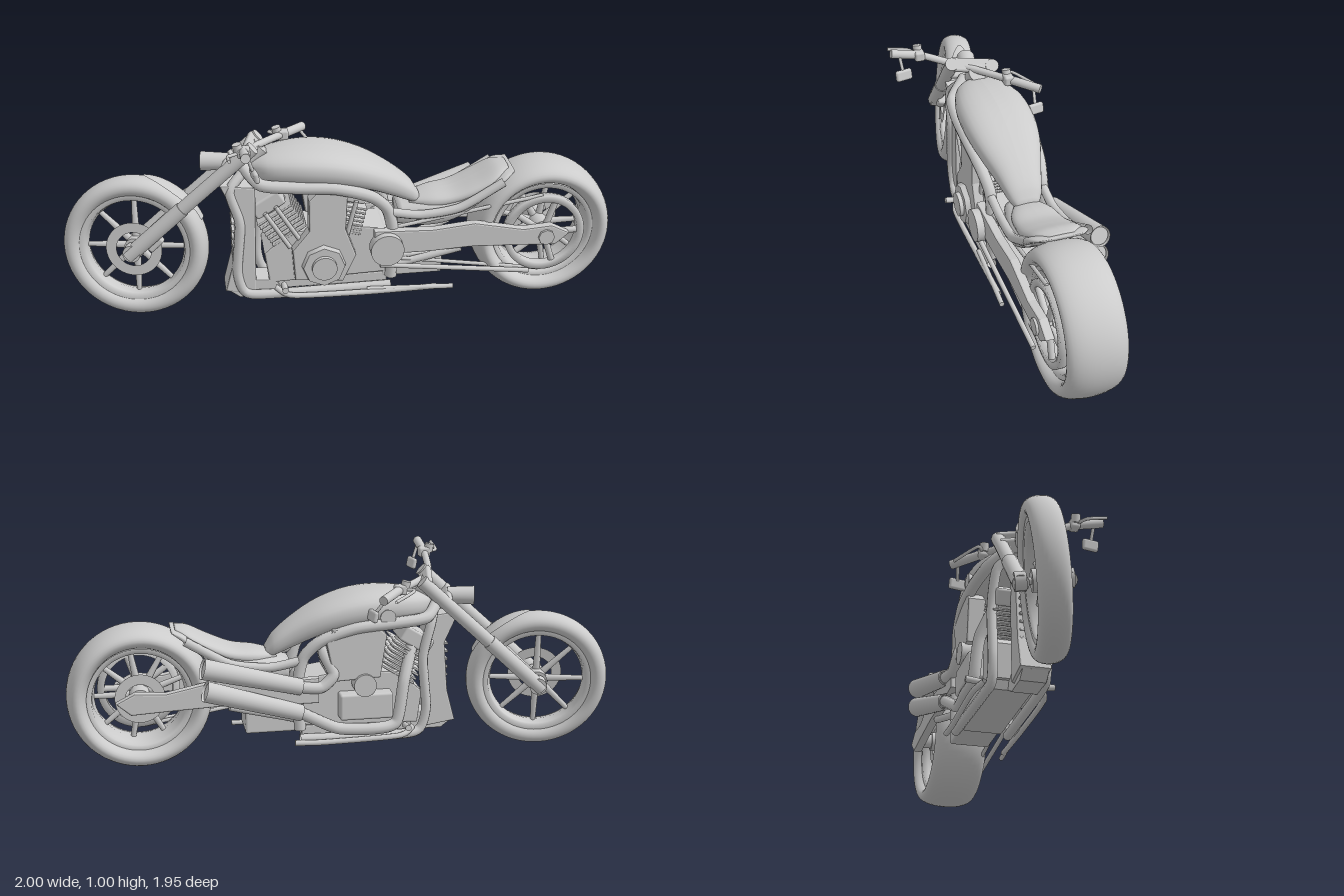
import * as THREE from 'three';
import { RoundedBoxGeometry } from 'three/addons/geometries/RoundedBoxGeometry.js';

// Bike space: x runs front to rear, y up, +z is the rider's left.
const mat = new THREE.MeshStandardMaterial({ color: 0xcccccc, side: THREE.DoubleSide });
const V = (p) => new THREE.Vector3(...p);

export function createModel() {
  const root = new THREE.Group();
  const bike = new THREE.Group();
  bike.name = 'motorcycle';
  bike.position.set(-0.04, 0, 0.015);
  bike.rotation.y = THREE.MathUtils.degToRad(-41.5);
  root.add(bike);

  const add = (parent, name, geo, pos = [0, 0, 0], rot = [0, 0, 0]) => {
    const m = new THREE.Mesh(geo, mat);
    m.name = name;
    m.position.set(...pos);
    m.rotation.set(...rot);
    parent.add(m);
    return m;
  };
  const box = (parent, name, size, pos, rot, r = 0.012) =>
    add(parent, name, new RoundedBoxGeometry(...size, 2, r), pos, rot);
  const rod = (parent, name, a, b, r, r2 = r, sides = 20, open = false) => {
    const d = V(b).sub(V(a));
    const m = add(parent, name, new THREE.CylinderGeometry(r2, r, d.length(), sides, 1, open));
    m.position.copy(V(a)).addScaledVector(d, 0.5);
    m.quaternion.setFromUnitVectors(new THREE.Vector3(0, 1, 0), d.normalize());
    return m;
  };
  const tube = (parent, name, pts, r, tension = 0.35) =>
    add(parent, name, new THREE.TubeGeometry(
      new THREE.CatmullRomCurve3(pts.map(V), false, 'catmullrom', tension), pts.length * 10, r, 10));
  // disc or cover whose axis points sideways
  const disc = (parent, name, r, depth, pos, sides = 32, r2 = r) =>
    add(parent, name, new THREE.CylinderGeometry(r2, r, depth, sides), pos, [Math.PI / 2, 0, 0]);
  const plate = (parent, name, pts, depth, z) => {
    const s = new THREE.Shape(pts.map((p) => new THREE.Vector2(...p)));
    const g = new THREE.ExtrudeGeometry(s, { depth, bevelEnabled: true, bevelSize: 0.008, bevelThickness: 0.008, bevelSegments: 2 });
    return add(parent, name, g, [0, 0, z - depth / 2]);
  };
  // body through sections [x, yBottom, yTop, halfWidth]
  const loft = (parent, name, sections, power = 0.8, n = 28) => {
    const curve = (k) => new THREE.CatmullRomCurve3(sections.map((s) => new THREE.Vector3(s[0], s[k], s[3])));
    const lo = curve(1), hi = curve(2), steps = 28, pos = [], idx = [];
    const sp = (v) => Math.sign(v) * Math.abs(v) ** power;
    for (let i = -1; i <= steps + 1; i++) {
      const t = Math.min(Math.max(i / steps, 0), 1);
      const a = lo.getPoint(t), b = hi.getPoint(t), k = i < 0 || i > steps ? 0.01 : 1;
      for (let j = 0; j <= n; j++) {
        const q = (j / n) * Math.PI * 2;
        pos.push(a.x, (a.y + b.y) / 2 + ((b.y - a.y) / 2) * sp(Math.cos(q)) * k, b.z * sp(Math.sin(q)) * k);
      }
    }
    for (let i = 0; i < steps + 2; i++) for (let j = 0; j < n; j++) {
      const a = i * (n + 1) + j, b = a + n + 1;
      idx.push(a, a + 1, b, a + 1, b + 1, b);
    }
    const g = new THREE.BufferGeometry();
    g.setAttribute('position', new THREE.Float32BufferAttribute(pos, 3));
    g.setIndex(idx);
    g.computeVertexNormals();
    return add(parent, name, g);
  };
  const lathe = (parent, name, pts, z = 0) =>
    add(parent, name, new THREE.LatheGeometry(pts.map((p) => new THREE.Vector2(...p)), 64), [0, 0, z], [Math.PI / 2, 0, 0]);

  const wheel = (parent, name, R, rim, half, power, spokes) => {
    const w = new THREE.Group();
    w.name = name;
    parent.add(w);
    const sp = (v) => Math.sign(v) * Math.abs(v) ** power;
    const ring = [];
    for (let i = 0; i <= 32; i++) {
      const t = -Math.PI + (i / 32) * Math.PI * 2;
      ring.push([(R + rim) / 2 + ((R - rim) / 2) * sp(Math.cos(t)), half * sp(Math.sin(t))]);
    }
    lathe(w, 'tyre', ring);
    const b = half * 0.72;
    lathe(w, 'rim', [[rim + 0.012, -b], [rim - 0.012, -b], [rim - 0.016, -b * 0.7], [rim - 0.026, 0],
      [rim - 0.016, b * 0.7], [rim - 0.012, b], [rim + 0.012, b]]);
    disc(w, 'hub', 0.05, half * 1.5, [0, 0, 0]);
    for (let i = 0; i < spokes; i++) {
      const a = (i / spokes) * Math.PI * 2, c = Math.cos(a), s = Math.sin(a);
      rod(w, 'spoke', [c * 0.03, s * 0.03, 0], [c * (rim - 0.02), s * (rim - 0.02), 0], 0.019, 0.013, 8);
    }
    return w;
  };

  // Front end, steered to the right
  const front = new THREE.Group();
  front.name = 'frontEnd';
  front.position.set(-0.99, 0.35, -0.045);
  front.quaternion.setFromAxisAngle(new THREE.Vector3(0.45, 0.89, 0).normalize(), -0.23);
  bike.add(front);
  wheel(front, 'frontWheel', 0.35, 0.255, 0.07, 0.95, 8);
  for (const s of [1, -1]) {
    const z = s * 0.1;
    rod(front, 'forkLower', [-0.02, -0.02, z], [0.25, 0.225, z], 0.037);
    rod(front, 'forkUpper', [0.25, 0.225, z], [0.59, 0.53, z], 0.033);
    disc(front, 'axleClamp', 0.042, 0.05, [0, 0, z]);
  }
  add(front, 'brakeDisc', new THREE.RingGeometry(0.085, 0.135, 40), [0, 0, 0.06]);
  box(front, 'brakeCaliper', [0.07, 0.09, 0.04], [0.1, 0.05, 0.08], [0, 0, -0.8]);
  disc(front, 'frontAxle', 0.016, 0.24, [0, 0, 0]);
  for (const t of [0.47, 0.57]) box(front, 'tripleClamp', [0.035, 0.07, 0.22], [t, t * 0.905, 0], [0, 0, 0.735]);
  rod(front, 'headlight', [0.46, 0.43, 0], [0.33, 0.43, 0], 0.04, 0.046, 28);
  // front fender: leaf-shaped strip wrapped over the tyre
  const fender = new THREE.CylinderGeometry(0.36, 0.36, 0.11, 20, 6, true, 0.15, 1.0);
  const fp = fender.attributes.position;
  for (let i = 0; i < fp.count; i++) {
    const t = (Math.atan2(fp.getX(i), fp.getZ(i)) - 0.15) / 1.0;
    const y = fp.getY(i) * (0.15 + 0.85 * Math.sin(Math.PI * Math.min(Math.max(t, 0), 0.85)) ** 0.8);
    const k = 1 - 12 * y * y;
    fp.setXYZ(i, fp.getX(i) * k, y, fp.getZ(i) * k);
  }
  fender.computeVertexNormals();
  add(front, 'frontFender', fender, [0, 0, 0], [-Math.PI / 2, 0, 0]);

  // Handlebar and controls
  const bar = [[-0.48, 0.975, 0.41], [-0.48, 0.945, 0.27], [-0.47, 0.89, 0.14], [-0.42, 0.865, 0.04],
    [-0.33, 0.855, -0.06], [-0.27, 0.85, -0.12], [-0.16, 0.83, -0.25]];
  tube(bike, 'handlebar', bar, 0.018);
  for (const [a, b, lever, k] of [[bar[1], bar[0], -0.07, 1], [bar[5], bar[6], -0.06, -1]]) {
    rod(bike, 'grip', a, b, 0.022);
    box(bike, 'switchBlock', [0.06, 0.05, 0.05], a);
    tube(bike, 'lever', [a, [a[0] + lever, a[1], a[2] + 0.04 * k], [b[0] + lever, b[1] - 0.01, b[2]]], 0.008);
    rod(bike, 'reservoir', [a[0] - 0.02, a[1], a[2]], [a[0] - 0.03, a[1] + 0.04, a[2]], 0.022);
  }
  for (const [a, b] of [[[-0.47, 0.96, 0.37], [-0.44, 0.87, 0.36]], [[-0.18, 0.83, -0.22], [-0.12, 0.75, -0.21]]]) {
    rod(bike, 'mirrorStem', a, b, 0.008);
    box(bike, 'mirror', [0.025, 0.055, 0.085], b, [0, 0.2, 0.2]);
  }

  // Tank, seat and tail
  loft(bike, 'fuelTank', [[-0.44, 0.72, 0.79, 0.05], [-0.36, 0.69, 0.825, 0.12], [-0.22, 0.68, 0.845, 0.165],
    [-0.06, 0.665, 0.835, 0.175], [0.1, 0.63, 0.785, 0.155], [0.24, 0.57, 0.705, 0.11], [0.33, 0.53, 0.63, 0.08], [0.37, 0.52, 0.57, 0.05]]);
  loft(bike, 'seat', [[0.32, 0.51, 0.55, 0.05], [0.42, 0.5, 0.575, 0.10], [0.53, 0.52, 0.59, 0.115],
    [0.64, 0.56, 0.635, 0.125], [0.74, 0.61, 0.685, 0.115], [0.8, 0.67, 0.695, 0.06]]);
  loft(bike, 'tailCowl', [[0.26, 0.42, 0.52, 0.08], [0.4, 0.41, 0.545, 0.12], [0.53, 0.44, 0.56, 0.135],
    [0.65, 0.53, 0.61, 0.145], [0.76, 0.63, 0.675, 0.14], [0.82, 0.675, 0.69, 0.1]], 0.7);

  // Frame
  rod(bike, 'steeringHead', [-0.5, 0.74, 0], [-0.38, 0.85, 0], 0.045);
  for (const s of [1, -1]) {
    const z = s * 0.13;
    tube(bike, 'upperFrameTube', [[-0.48, 0.78, s * 0.04], [-0.4, 0.71, z], [-0.24, 0.695, s * 0.155], [-0.05, 0.68, s * 0.16],
      [0.12, 0.62, s * 0.145], [0.2, 0.54, z], [0.23, 0.4, z], [0.22, 0.18, z]], 0.029);
    // the tubes run further forward on the left, around the radiator
    const d = s > 0 ? -0.04 : 0.07;
    tube(bike, 'downTube', [[-0.46, 0.76, s * 0.05], [-0.5 + d, 0.67, s * 0.1], [-0.46 + d, 0.5, s * 0.11], [-0.48 + d, 0.25, s * 0.11],
      [-0.45 + d, 0.14, s * 0.11], [-0.35 + d, 0.12, s * 0.12], [0.22, 0.13, z]], 0.024);
    tube(bike, 'seatRail', [[0.19, 0.53, z], [0.36, 0.5, z], [0.55, 0.53, s * 0.14], [0.76, 0.65, s * 0.14]], 0.022);
    tube(bike, 'footRail', [[-0.34, 0.16, z], [-0.26, 0.13, s * 0.17], [0.1, 0.12, s * 0.17], [s > 0 ? 0.44 : 0.25, 0.125, s * 0.17]], 0.014);
    rod(bike, 'footPeg', [-0.3, 0.17, z], [-0.3, 0.18, s * 0.21], 0.015);
    // swingarm
    plate(bike, 'swingarm', [[0.14, 0.33], [0.14, 0.44], [0.42, 0.43], [0.62, 0.45], [0.86, 0.4], [1.0, 0.41],
      [1.08, 0.37], [1.02, 0.32], [0.84, 0.33], [0.6, 0.34], [0.4, 0.33]], 0.03, s * 0.155);
    rod(bike, 'swingarmBrace', [0.2, 0.22, s * 0.11], [0.56, 0.32, s * 0.15], 0.018);
  }
  disc(bike, 'swingarmPivot', 0.045, 0.34, [0.19, 0.385, 0]);
  plate(bike, 'radiator', [[-0.58, 0.7], [-0.51, 0.55], [-0.53, 0.3], [-0.57, 0.15], [-0.44, 0.13], [-0.43, 0.68]], 0.13, 0.04);
  for (let i = 0; i < 7; i++) box(bike, 'radiatorFin', [0.03, 0.012, 0.12], [-0.525, 0.3 + i * 0.04, 0.04], [0, 0, 0], 0.004);
  plate(bike, 'bellyPan', [[-0.55, 0.14], [-0.46, 0.19], [-0.34, 0.18], [-0.32, 0.14], [-0.38, 0.11], [-0.51, 0.11]], 0.11, 0.045);
  plate(bike, 'sump', [[-0.34, 0.18], [0.2, 0.18], [0.2, 0.14], [-0.32, 0.14]], 0.18, 0);

  // V-twin engine
  plate(bike, 'crankcase', [[-0.36, 0.18], [-0.38, 0.33], [-0.27, 0.43], [0.0, 0.45], [0.2, 0.42], [0.22, 0.2]], 0.2, 0);
  for (const [tilt, x] of [[0.55, -0.24], [-0.25, -0.03]]) {
    const cyl = new THREE.Group();
    cyl.name = 'cylinder';
    cyl.position.set(x, 0.38, 0);
    cyl.rotation.z = tilt;
    bike.add(cyl);
    rod(cyl, 'barrel', [0, 0, 0], [0, 0.2, 0], 0.075);
    for (let i = 0; i < 7; i++) box(cyl, 'coolingFin', [0.19, 0.011, 0.22], [0, 0.05 + i * 0.022, 0], [0, 0, 0], 0.004);
    box(cyl, 'cylinderHead', [0.16, 0.08, 0.2], [0, 0.24, 0]);
    for (const s of [-0.03, 0.03]) rod(cyl, 'pushrodTube', [s, 0, 0.115], [s, 0.22, 0.115], 0.011);
  }
  // left covers
  plate(bike, 'primaryCover', [[-0.24, 0.21], [-0.25, 0.36], [-0.17, 0.46], [-0.17, 0.62], [-0.13, 0.66], [0.0, 0.66], [-0.01, 0.46], [0.04, 0.32], [-0.02, 0.19]], 0.05, 0.125);
  disc(bike, 'clutchCover', 0.11, 0.04, [-0.11, 0.28, 0.165], 8, 0.1);
  disc(bike, 'clutchCap', 0.06, 0.03, [-0.11, 0.28, 0.19]);
  disc(bike, 'pulleyCover', 0.08, 0.06, [0.19, 0.36, 0.185], 32);
  // right covers
  plate(bike, 'airCleaner', [[-0.16, 0.44], [-0.19, 0.64], [-0.15, 0.68], [0.06, 0.67], [0.09, 0.62], [0.05, 0.43]], 0.07, -0.13);
  disc(bike, 'timingCover', 0.055, 0.07, [-0.09, 0.4, -0.155]);
  box(bike, 'oilBox', [0.26, 0.13, 0.08], [-0.1, 0.29, -0.14]);
  box(bike, 'batteryBox', [0.3, 0.12, 0.2], [0.33, 0.22, 0]);
  rod(bike, 'horn', [-0.2, 0.73, -0.14], [-0.2, 0.73, -0.18], 0.032, 0.038);

  // Exhausts on the right
  for (const [end, start, path] of [
    [[0.69, 0.54, -0.23], [0.22, 0.41, -0.18], [[0.12, 0.4, -0.17], [0.06, 0.46, -0.16], [0.1, 0.56, -0.12], [0.04, 0.6, -0.06]]],
    [[0.68, 0.43, -0.23], [0.22, 0.28, -0.18], [[0.04, 0.185, -0.16], [-0.14, 0.175, -0.17], [-0.25, 0.2, -0.16], [-0.29, 0.4, -0.14], [-0.35, 0.58, -0.06]]],
  ]) {
    rod(bike, 'muffler', start, end, 0.04, 0.05, 28, true);
    const core = rod(bike, 'mufflerCore', start, end, 0.032, 0.043, 24);
    core.scale.y = 0.96;
    tube(bike, 'headerPipe', [V(start).lerp(V(end), 0.1).toArray(), start, ...path], 0.029);
  }

  // Rear wheel with pulley, belt and disc
  const rear = wheel(bike, 'rearWheel', 0.347, 0.24, 0.138, 0.95, 9);
  rear.position.set(0.975, 0.36, 0.01);
  disc(rear, 'rearAxle', 0.025, 0.34, [0, 0, 0]);
  disc(rear, 'axleNut', 0.04, 0.36, [0, 0, 0], 8);
  lathe(rear, 'beltPulley', [[0.165, -0.02], [0.2, -0.02], [0.2, 0.02], [0.165, 0.02], [0.165, -0.02]], 0.11);
  for (let i = 0; i < 5; i++) {
    const a = i * Math.PI * 0.4;
    rod(rear, 'pulleySpoke', [0, 0, 0.11], [Math.cos(a) * 0.175, Math.sin(a) * 0.175, 0.11], 0.016);
  }
  add(rear, 'rearBrakeDisc', new THREE.RingGeometry(0.07, 0.12, 40), [0, 0, -0.08]);
  for (const s of [1, -1]) rod(bike, 'driveBelt', [0.19, 0.36 + s * 0.075, 0.13], [0.96, 0.36 + s * 0.2, 0.125], 0.01, 0.01, 8);
  rod(bike, 'beltGuard', [0.16, 0.27, 0.18], [0.9, 0.17, 0.16], 0.012);
  rod(bike, 'sideStand', [0.1, 0.13, 0.16], [0.52, 0.125, 0.18], 0.012);
  return root;
}
